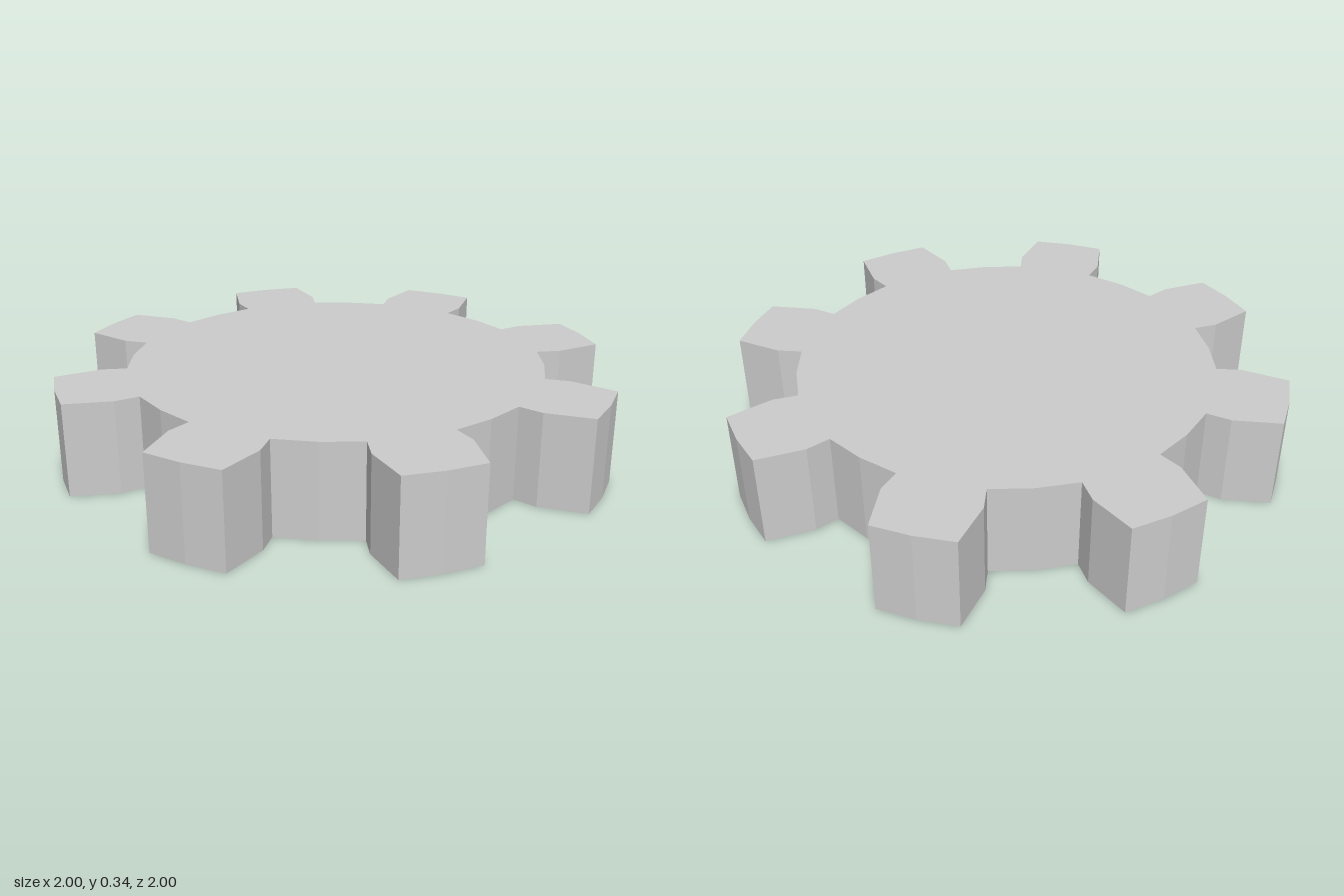
import * as THREE from 'three';

const TEETH = 8;
const HEIGHT = 0.345;

// One tooth and the middle of the following valley: [radius, degrees from tooth centre]
const TOOTH = [
  [0.775, -11.25], [0.866, -11.25], [1.033, -7.9], [1.033, 0],
  [1.033, 7.9], [0.866, 11.25], [0.775, 11.25], [0.773, 22.5],
];

export function createModel() {
  const group = new THREE.Group();
  group.name = 'gear';

  // Gear outline, repeated tooth by tooth
  const outline = [];
  for (let i = 0; i < TEETH; i++) {
    const centre = ((i + 0.5) * 360) / TEETH;
    for (const [r, offset] of TOOTH) {
      const a = THREE.MathUtils.degToRad(centre + offset);
      outline.push(new THREE.Vector2(r * Math.cos(a), r * Math.sin(a)));
    }
  }

  // Solid gear, laid flat on the ground
  const geometry = new THREE.ExtrudeGeometry(new THREE.Shape(outline), {
    depth: HEIGHT, bevelEnabled: false,
  });
  geometry.rotateX(-Math.PI / 2);

  const material = new THREE.MeshStandardMaterial({ color: 0xcccccc, flatShading: true });
  const gear = new THREE.Mesh(geometry, material);
  gear.name = 'gearWheel';
  group.add(gear);
  return group;
}
